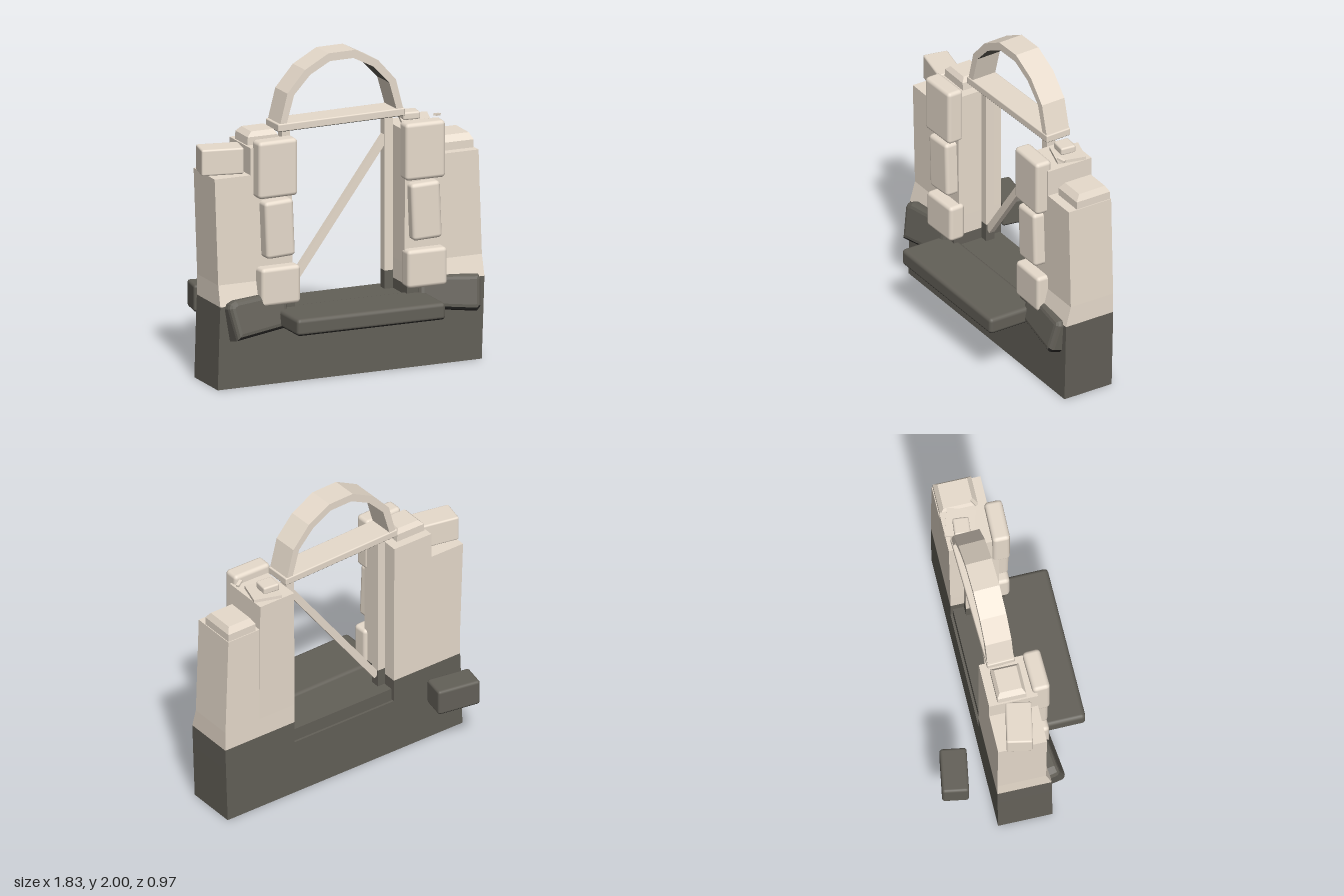
import * as THREE from 'three';
import { RoundedBoxGeometry } from 'three/addons/geometries/RoundedBoxGeometry.js';

export function createModel() {
  const model = new THREE.Group();
  model.name = 'ruinedGateway';
  const flat = (name, color) => Object.assign(new THREE.MeshStandardMaterial({ color }), { name });
  const light = flat('paleStone', 0xe7dbcc);
  const dark = flat('darkStone', 0x636058);
  const black = flat('blackStone', 0x2d2c2a);

  // Adds a mesh; with a base material, the faces that point down get that colour
  function add(name, geometry, material, pos = [0, 0, 0], rot = [0, 0, 0], base = null) {
    let g = geometry;
    if (base) {
      if (g.index) g = g.toNonIndexed();
      g.clearGroups();
      const tri = new THREE.Triangle(), n = new THREE.Vector3();
      for (let i = 0; i < g.attributes.position.count; i += 3) {
        tri.setFromAttributeAndIndices(g.attributes.position, i, i + 1, i + 2).getNormal(n);
        g.addGroup(i, 3, n.y < -0.5 ? 1 : 0);
      }
    }
    const mesh = new THREE.Mesh(g, base ? [material, base] : material);
    mesh.name = name;
    mesh.position.set(...pos);
    mesh.rotation.set(...rot);
    model.add(mesh);
  }

  // Block whose bottom and top rectangles [x0, x1, z0, z1] differ
  function taper(name, material, y0, bottom, y1, top, base) {
    const g = new THREE.BoxGeometry(1, 1, 1);
    const p = g.attributes.position;
    for (let i = 0; i < p.count; i++) {
      const up = p.getY(i) > 0;
      const r = up ? top : bottom;
      p.setXYZ(i, p.getX(i) < 0 ? r[0] : r[1], up ? y1 : y0, p.getZ(i) < 0 ? r[2] : r[3]);
    }
    g.computeVertexNormals();
    add(name, g, material, undefined, undefined, base);
  }

  function stone(name, material, size, pos, rot, radius = 0.025, base = null) {
    add(name, new RoundedBoxGeometry(...size, 2, radius), material, pos, rot, base);
  }

  // Dark foundation with the threshold notch and a raised sill in it
  taper('foundation', dark, 0, [-0.875, 0.895, -0.16, 0.18], 0.37, [-0.864, 0.908, -0.16, 0.18], black);
  taper('foundationRight', dark, 0.37, [-0.864, -0.358, -0.16, 0.18], 0.52, [-0.858, -0.358, -0.16, 0.18]);
  taper('foundationLeft', dark, 0.37, [0.392, 0.908, -0.16, 0.18], 0.52, [0.392, 0.913, -0.16, 0.18]);
  taper('innerSill', dark, 0.36, [-0.35, 0.393, -0.145, 0.16], 0.455, [-0.35, 0.393, -0.145, 0.16]);

  // Piers: sloped band, then stepped upper masonry
  taper('rightPierBand', light, 0.52, [-0.858, -0.358, -0.16, 0.18], 0.65, [-0.856, -0.358, -0.16, 0.145]);
  taper('rightPierOuter', light, 0.65, [-0.856, -0.64, -0.16, 0.145], 1.32, [-0.88, -0.64, -0.16, 0.145]);
  taper('rightPierInner', light, 0.65, [-0.64, -0.358, -0.16, 0.145], 1.49, [-0.64, -0.362, -0.16, 0.145]);
  taper('leftPierBand', light, 0.52, [0.392, 0.913, -0.16, 0.18], 0.65, [0.392, 0.912, -0.16, 0.145]);
  taper('leftPierOuter', light, 0.65, [0.655, 0.912, -0.16, 0.145], 1.31, [0.655, 0.89, -0.16, 0.145]);
  taper('leftPierInner', light, 0.65, [0.392, 0.655, -0.16, 0.145], 1.48, [0.4, 0.655, -0.168, 0.145]);

  // Facing stones beside the opening: x, y, width, height, tilt
  const quoins = [
    [-0.487, 1.36, 0.265, 0.36, 0], [-0.475, 0.98, 0.195, 0.36, 0.04], [-0.468, 0.62, 0.265, 0.24, 0],
    [0.508, 1.36, 0.265, 0.36, 0], [0.515, 0.98, 0.195, 0.36, 0.04], [0.52, 0.62, 0.265, 0.24, 0],
  ];
  quoins.forEach(([x, y, w, h, tilt], i) =>
    stone('facingStone' + (i + 1), light, [w, h, 0.11], [x, y, x < 0 ? 0.17 : 0.16], [0, x < 0 ? 0.03 : -0.02, tilt]));

  // Door frame posts with dark feet, diagonal brace and lintel
  for (const [side, x] of [['right', -0.327], ['left', 0.362]]) {
    add(side + 'PostFoot', new THREE.BoxGeometry(0.055, 0.13, 0.06), dark, [x, 0.505, -0.045]);
    add(side + 'Post', new THREE.BoxGeometry(0.055, 0.98, 0.06), light, [x, 1.06, -0.045]);
  }
  const a = new THREE.Vector2(-0.3, 0.53), b = new THREE.Vector2(0.35, 1.415);
  add('diagonalBrace', new THREE.BoxGeometry(a.distanceTo(b), 0.045, 0.04), light,
    [(a.x + b.x) / 2, (a.y + b.y) / 2, -0.045], [0, 0, Math.atan2(b.y - a.y, b.x - a.x)]);
  stone('lintel', light, [0.865, 0.05, 0.175], [0.018, 1.567, -0.047], [0, 0.035, 0], 0.008, dark);

  // Faceted arch with a dark soffit
  const outer = [[-0.42, 0], [-0.37, 0.19], [-0.25, 0.325], [-0.09, 0.41]];
  const inner = [[-0.375, 0], [-0.325, 0.175], [-0.215, 0.29], [-0.08, 0.36]];
  const mirrored = (pts) => pts.concat(pts.slice().reverse().map(([x, y]) => [-x, y]));
  const ring = mirrored(outer).concat(mirrored(inner).reverse());
  const arch = new THREE.ExtrudeGeometry(new THREE.Shape(ring.map((p) => new THREE.Vector2(...p))),
    { depth: 0.165, bevelEnabled: false });
  arch.translate(0, 0, -0.0825);
  add('arch', arch, light, [0.02, 1.588, -0.047], [0, 0.035, 0], dark);

  // Projecting step and loose block behind
  stone('frontStep', dark, [1.0, 0.108, 0.35], [0.02, 0.415, 0.305], [0, 0.008, -0.006], 0.025, black);
  stone('looseBlock', dark, [0.285, 0.17, 0.165], [-0.648, 0.445, -0.38], [0, -0.17, 0], 0.018, black);

  // Leaning dark stones at the foot of each pier
  function footStone(name, corners, x, y, z, rot) {
    const bevel = 0.035;
    const g = new THREE.ExtrudeGeometry(new THREE.Shape(corners.map((p) => new THREE.Vector2(...p))), {
      depth: 0.08, bevelEnabled: true, bevelSize: bevel, bevelThickness: bevel, bevelOffset: -bevel, bevelSegments: 3,
    });
    g.translate(0, 0, -0.04);
    add(name, g, dark, [x, y, z], rot, black);
  }
  footStone('rightFootStone', [[-0.17, -0.14], [0.2, -0.09], [0.2, 0.14], [-0.16, 0.11], [-0.2, 0.09], [-0.21, 0.06]],
    -0.62, 0.44, 0.17, [-0.25, 0.1, 0]);
  footStone('leftFootStone', [[-0.2, -0.08], [0.18, -0.135], [0.205, -0.11], [0.225, 0.06], [0.21, 0.09], [-0.18, 0.125]],
    0.66, 0.44, 0.15, [-0.25, -0.08, 0]);

  // Broken stones on top of the piers, each with a chamfered top
  stone('rightCornerStone', light, [0.265, 0.165, 0.16], [-0.775, 1.402, -0.005], [0, -0.2, 0], 0.012);
  taper('rightCapStone', light, 1.48, [-0.63, -0.42, -0.105, 0.075], 1.54, [-0.625, -0.425, -0.105, 0.075]);
  taper('rightCapStoneTop', light, 1.54, [-0.625, -0.425, -0.105, 0.075], 1.57, [-0.595, -0.445, -0.085, 0.055]);
  taper('leftCapStone', light, 1.3, [0.68, 0.885, -0.155, 0.085], 1.36, [0.68, 0.885, -0.155, 0.085]);
  taper('leftCapStoneTop', light, 1.36, [0.68, 0.885, -0.155, 0.085], 1.4, [0.705, 0.865, -0.13, 0.055]);

  // Rubble on the left pier
  add('rubbleSlab', new THREE.BoxGeometry(0.18, 0.02, 0.18), light, [0.555, 1.495, -0.06], [0.04, -0.3, 0.03]);
  stone('rubbleBlock', light, [0.11, 0.05, 0.1], [0.52, 1.525, -0.06], [0, -0.1, 0], 0.012);
  add('rubbleChip', new THREE.BoxGeometry(0.05, 0.015, 0.02), light, [0.655, 1.535, 0.05], [0, 0.5, -0.2]);

  return model;
}
